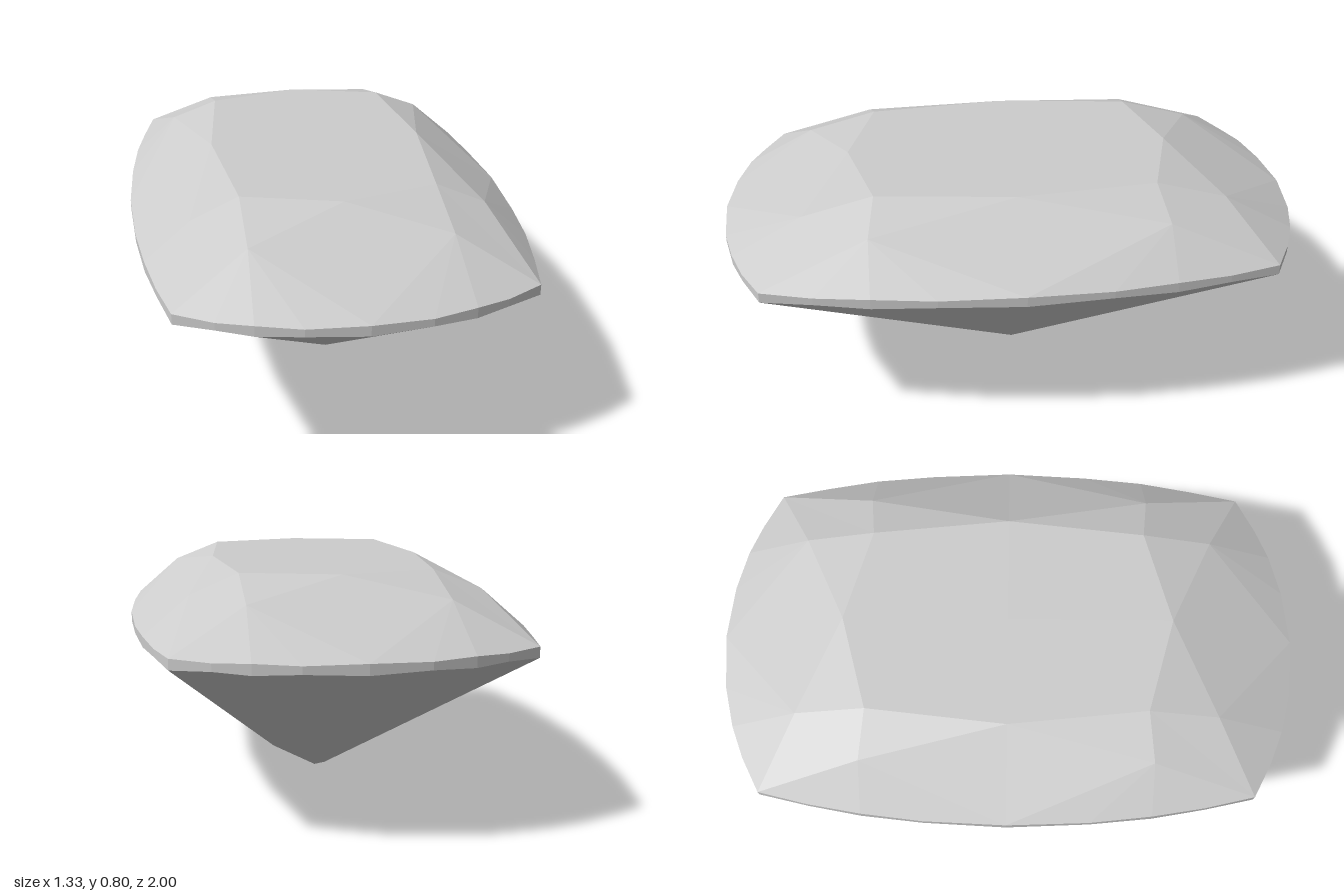
import * as THREE from 'three';

const V = (x, y, z) => new THREE.Vector3(x, y, z);

export function createModel() {
  const group = new THREE.Group();
  group.name = 'cushionCutGem';
  const gemGrey = new THREE.MeshStandardMaterial({ color: 0xcccccc, flatShading: true });
  gemGrey.name = 'gemGrey';

  // Flat facets for one quarter, mirrored to all four; each is turned to face outward
  const inside = V(0, 0.5, 0);
  function addPart(name, facets) {
    const pos = [];
    for (const sx of [1, -1]) for (const sz of [1, -1]) {
      for (const facet of facets) {
        const p = facet.map((v) => V(v.x * sx, v.y, v.z * sz));
        for (let i = 1; i < p.length - 1; i++) {
          const tri = [p[0], p[i], p[i + 1]];
          const n = tri[1].clone().sub(tri[0]).cross(tri[2].clone().sub(tri[0]));
          if (n.dot(tri[0].clone().sub(inside)) < 0) tri.reverse();
          tri.forEach((v) => pos.push(v.x, v.y, v.z));
        }
      }
    }
    const geo = new THREE.BufferGeometry();
    geo.setAttribute('position', new THREE.Float32BufferAttribute(pos, 3));
    geo.computeVertexNormals();
    const mesh = new THREE.Mesh(geo, gemGrey);
    mesh.name = name;
    group.add(mesh);
  }

  // Quarter outline: front arc to the corner, then side arc; odd points sit between facet corners
  const outline = [
    [0, 1], [0.19, 0.983], [0.33, 0.947], [0.44, 0.904], [0.56, 0.84],
    [0.599, 0.67], [0.63, 0.49], [0.653, 0.28], [0.665, 0],
  ];
  const top = outline.map(([x, z], i) => V(x, i % 2 ? 0.602 : 0.606, z));
  const bottom = outline.map(([x, z], i) => V(x, i % 2 ? 0.577 : 0.571, z));

  // Table
  const tFront = V(0, 0.8, 0.56), tCorner = V(0.32, 0.8, 0.47), tSide = V(0.37, 0.8, 0);
  addPart('table', [[V(0, 0.8, 0), tFront, tCorner, tSide]]);

  // Crown: stars, kites and upper girdle facets
  const midFront = V(0.32, 0.735, 0.71), midSide = V(0.48, 0.735, 0.49);
  addPart('crown', [
    [tFront, tCorner, midFront],
    [tSide, tCorner, midSide],
    [tFront, midFront, top[0]],
    [tSide, midSide, top[8]],
    [tCorner, midFront, top[4], midSide],
    [midFront, ...top.slice(0, 3)],
    [midFront, ...top.slice(2, 5)],
    [midSide, ...top.slice(4, 7)],
    [midSide, ...top.slice(6, 9)],
  ]);

  // Girdle band
  addPart('girdle', top.slice(1).map((v, i) => [top[i], v, bottom[i + 1], bottom[i]]));

  // Pavilion: corner kites meeting at the tip, fans of lower facets between them
  const lowFront = V(0, 0.08, 0.23), lowSide = V(0.155, 0.08, 0);
  addPart('pavilion', [
    [V(0, 0, 0), lowFront, bottom[4], lowSide],
    [lowFront, ...bottom.slice(0, 3)],
    [lowFront, ...bottom.slice(2, 5)],
    [lowSide, ...bottom.slice(4, 7)],
    [lowSide, ...bottom.slice(6, 9)],
  ]);

  return group;
}
